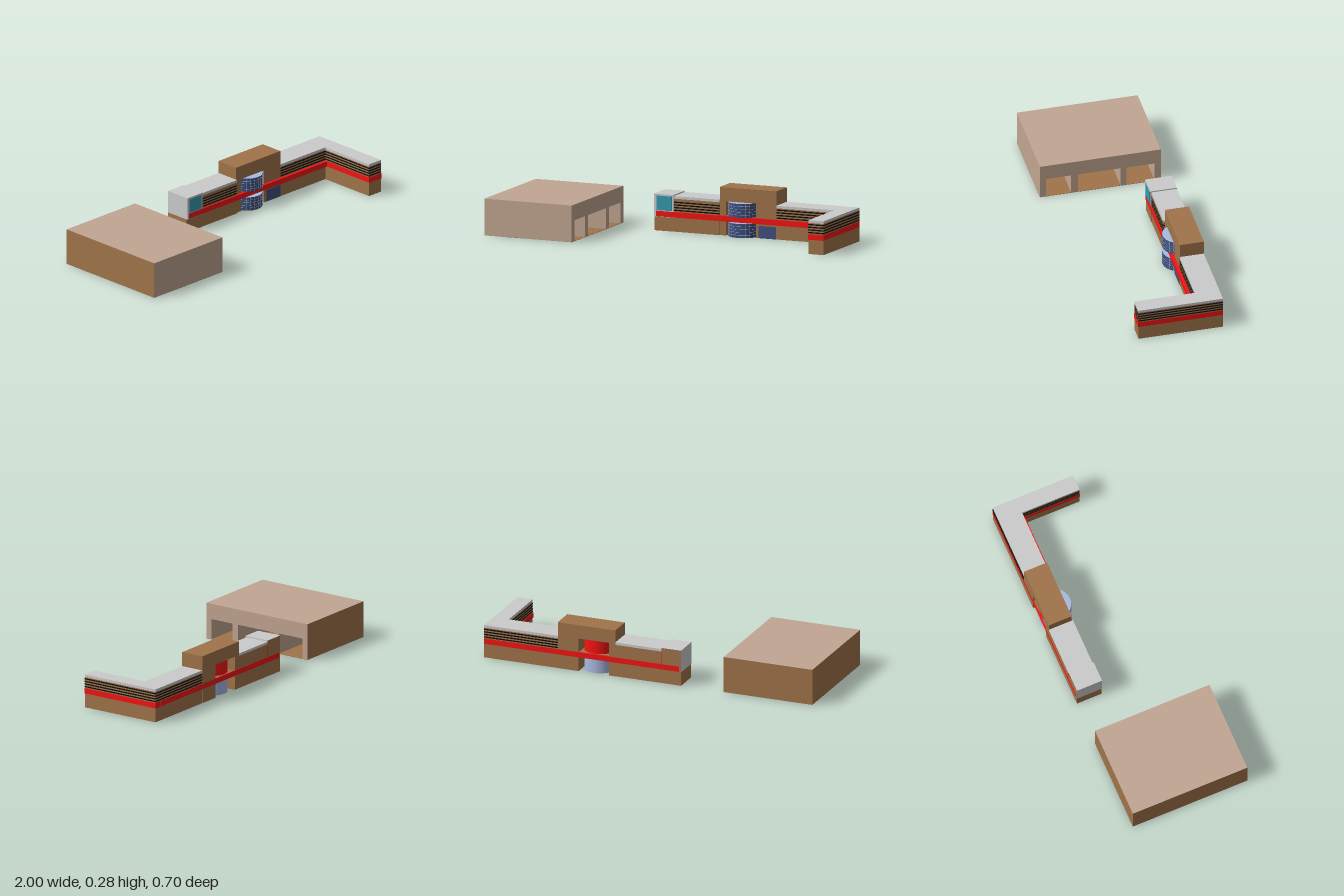
import * as THREE from 'three';

const mat = (color, side = THREE.FrontSide) => new THREE.MeshStandardMaterial({ color, side });

export function createModel() {
  const root = new THREE.Group();
  const brown = mat(0xa0744a), beige = mat(0xc2a692), red = mat(0xf51414), grey = mat(0xcccccc);
  const black = mat(0x0e0e0e), teal = mat(0x359ab0), lilac = mat(0xa9badf), navy = mat(0x40507e);
  const redShell = mat(0xf51414, THREE.DoubleSide), glass = mat(0x40507e, THREE.DoubleSide);

  const group = (name) => {
    const g = new THREE.Group();
    g.name = name;
    root.add(g);
    return g;
  };
  // Box given by its limits on each axis
  const box = (parent, name, material, x0, x1, y0, y1, z0, z1) => {
    const m = new THREE.Mesh(new THREE.BoxGeometry(x1 - x0, y1 - y0, z1 - z0), material);
    m.position.set((x0 + x1) / 2, (y0 + y1) / 2, (z0 + z1) / 2);
    m.name = name;
    parent.add(m);
    return m;
  };

  // Garage: solid rear part, then piers and a lintel around three deep bays
  const garage = group('garage');
  const gx = -0.86, gEnd = -0.46, bayTop = 0.12;
  const skin = (px) => [px, brown, beige, brown, beige, brown];
  box(garage, 'garageRear', skin(black), -1, gx, 0, 0.21, -0.35, 0.35);
  box(garage, 'garageLintel', skin(beige), gx, gEnd, bayTop, 0.21, -0.35, 0.35);
  box(garage, 'garageFloor', brown, gx, gEnd, 0, 0.002, -0.35, 0.35);
  [[0.315, 0.35], [0.13, 0.17], [-0.153, -0.117], [-0.35, -0.315]].forEach(([z0, z1]) =>
    box(garage, 'garagePier', z0 < -0.34 ? skin(beige) : beige, gx, gEnd, 0, bayTop, z0, z1));

  // One storeyed range: lower wall, upper wall, roof slab
  const range = (parent, x0, x1, z0, z1, top) => {
    box(parent, 'lowerWall', brown, x0, x1, 0, 0.08, z0, z1);
    box(parent, 'upperWall', brown, x0, x1, 0.08, top - 0.015, z0, z1);
    box(parent, 'roof', grey, x0, x1, top - 0.015, top, z0, z1);
  };
  // Four dark window strips, slightly proud of the wall
  const strips = (parent, x0, x1, z0, z1) => {
    for (let i = 0; i < 4; i++) {
      const y = 0.119 + i * 0.0153;
      box(parent, 'windowStrip', black, x0, x1, y, y + 0.007, z0, z1);
    }
  };

  // East range and the wing that comes forward
  const east = group('eastRange');
  range(east, 0.55, 0.91, -0.349, -0.21, 0.193);
  strips(east, 0.55, 0.92, -0.35, -0.209);
  const wing = group('wing');
  range(wing, 0.906, 0.999, -0.349, 0.14, 0.193);
  strips(wing, 0.905, 1, -0.35, 0.141);
  box(wing, 'wingBand', red, 0.904, 1, 0.082, 0.113, -0.35, 0.143);

  // West range with its windowed end block
  const west = group('westRange');
  range(west, -0.08, 0.2, -0.349, -0.202, 0.203);
  strips(west, -0.08, 0.2, -0.25, -0.201);
  box(west, 'endBlockBase', brown, -0.2, -0.08, 0, 0.08, -0.349, -0.2);
  box(west, 'endBlockUpper', [grey, grey, grey, grey, grey, brown],
    -0.2, -0.08, 0.08, 0.21, -0.349, -0.195);
  box(west, 'endBlockWindow', teal, -0.183, -0.09, 0.117, 0.2, -0.2, -0.193);
  box(west, 'rearPipe', red, -0.082, -0.077, 0.1, 0.19, -0.35, -0.345);

  // Tower: piers and a lintel around the stair drum
  const tower = group('tower');
  box(tower, 'towerPier', brown, 0.2, 0.238, 0, 0.195, -0.35, -0.21);
  box(tower, 'towerPier', brown, 0.423, 0.55, 0, 0.195, -0.35, -0.21);
  box(tower, 'towerTop', brown, 0.2, 0.55, 0.195, 0.275, -0.35, -0.21);
  box(tower, 'towerMidSlab', brown, 0.238, 0.423, 0.082, 0.113, -0.345, -0.21);

  // Red bands along the front and the back
  box(root, 'frontBand', red, -0.187, 0.91, 0.082, 0.113, -0.215, -0.194);
  box(root, 'rearBand', red, -0.187, 0.95, 0.082, 0.113, -0.3505, -0.34);

  // Entrance doors
  const door = group('entrance');
  box(door, 'doorGlass', navy, 0.44, 0.548, 0, 0.07, -0.212, -0.208);
  [0.44, 0.492, 0.545].forEach((x) =>
    box(door, 'doorFrame', lilac, x, x + 0.002, 0, 0.07, -0.212, -0.2105));
  box(door, 'doorHead', lilac, 0.44, 0.548, 0.068, 0.07, -0.212, -0.2105);

  // Stair drum: glazed front half, plain back half, mullions and transoms
  const drum = group('stairDrum');
  const R = 0.09;
  drum.position.set(0.33, 0, -0.255);
  const drumPart = (y0, y1, backMaterial) => {
    const h = y1 - y0, mid = (y0 + y1) / 2;
    const add = (name, geometry, material, y) => {
      const m = new THREE.Mesh(geometry, material);
      m.name = name;
      m.position.y = y;
      drum.add(m);
      return m;
    };
    const half = (start) => new THREE.CylinderGeometry(R, R, h, 24, 1, true, start, Math.PI);
    add('drumGlass', half(-Math.PI / 2), glass, mid);
    add('drumBack', half(Math.PI / 2), backMaterial, mid);
    add('drumCap', new THREE.CircleGeometry(R, 48), lilac, y1).rotation.x = -Math.PI / 2;
    add('drumBase', new THREE.CircleGeometry(R, 48), lilac, y0).rotation.x = Math.PI / 2;
    for (let i = 0; i <= 12; i++) {
      const a = (i / 12 - 0.5) * Math.PI;
      const m = add('mullion', new THREE.BoxGeometry(0.0018, h, 0.0018), lilac, mid);
      m.position.x = R * Math.sin(a);
      m.position.z = R * Math.cos(a);
      m.rotation.y = a;
    }
    for (let i = 1; i < 5; i++) {
      const ring = new THREE.TorusGeometry(R, 0.0009, 4, 24, Math.PI);
      add('transom', ring, lilac, y0 + h * i / 5).rotation.x = Math.PI / 2;
    }
  };
  drumPart(0, 0.08, mat(0xa9badf, THREE.DoubleSide));
  drumPart(0.115, 0.1945, redShell);

  return root;
}
